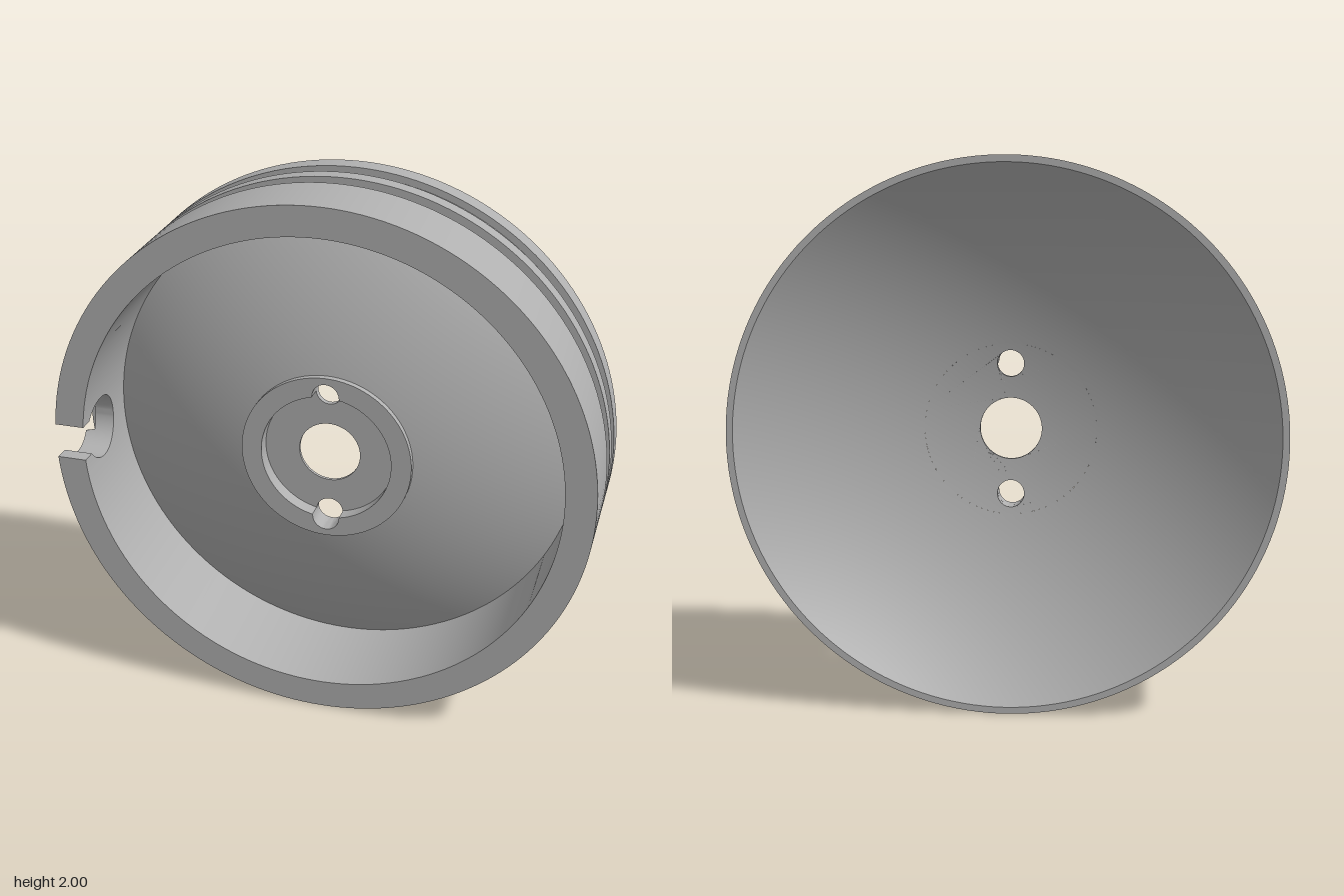
import * as THREE from 'three';
import { toCreasedNormals } from 'three/addons/utils/BufferGeometryUtils.js';

const SEG = 160;
const NOTCH_R = 0.12, NOTCH_Z = 0.105, SLOT = 0.067;   // keyhole notch in the rim
const BACK_R = 1.625, FRONT_R = 1.695, SPHERE_Z = -1.563; // concentric dish spheres
const BOSS_R = 0.32, RECESS_R = 0.245, PIN_R = 0.05, BORE_R = 0.115;
const FLOOR_Z = 0.07, BOSS_Z = 0.125;

const sphereZ = (R, r) => SPHERE_Z + Math.sqrt(R * R - r * r);

// Point on a circle about z; the angle is measured from -x towards +y
const polar = (r, a, z) => new THREE.Vector3(-r * Math.cos(a), r * Math.sin(a), z);

// Skin between columns of points, each column being a closed cross-section
function skin(columns, closed) {
  const out = [];
  const count = closed ? columns.length : columns.length - 1;
  for (let i = 0; i < count; i++) {
    const p = columns[i], q = columns[(i + 1) % columns.length];
    for (let j = 0; j < p.length; j++) {
      const k = (j + 1) % p.length;
      for (const v of [p[j], q[j], p[k], q[j], q[k], p[k]]) out.push(v.x, v.y, v.z);
    }
  }
  const g = new THREE.BufferGeometry();
  g.setAttribute('position', new THREE.Float32BufferAttribute(out, 3));
  return toCreasedNormals(g, 0.5);
}

// Rim with two grooves; the notch lowers its front edge
function rimGeometry() {
  const profile = [
    [0.89, 0.26], [1, 0.26], [1, 0.01], [0.965, 0.01], [0.965, -0.058], [1, -0.058],
    [1, -0.118], [0.965, -0.118], [0.965, -0.175], [0.975, -0.185], [1, -0.185],
    [1, -0.26], [0.975, -0.26], [0.89, -0.15],
  ];
  const columns = [];
  for (let i = 0; i <= SEG; i++) {
    columns.push(profile.map(([r, z]) => {
      const a = Math.asin(NOTCH_R / r);
      return polar(r, THREE.MathUtils.lerp(a, 2 * Math.PI - a, i / SEG), z);
    }));
  }
  for (let i = 0; i <= 40; i++) {
    const a = (i / 40 - 0.5) * Math.PI;
    const y = NOTCH_R * Math.sin(a), top = NOTCH_Z - NOTCH_R * Math.cos(a);
    columns.push(profile.map(([r, z], j) => {
      const rr = j < 3 && top < 0.01 ? Math.min(r, 0.965) : r;
      return polar(rr, Math.asin(y / rr), Math.min(z, top));
    }));
  }
  return skin(columns, true);
}

// Lip that narrows the notch to a slot at the front
function lipGeometry(side) {
  const columns = [];
  const a0 = Math.asin(SLOT / NOTCH_R);
  for (let i = 0; i <= 12; i++) {
    const a = side * THREE.MathUtils.lerp(a0, Math.PI / 2, i / 12);
    const y = NOTCH_R * Math.sin(a), low = NOTCH_Z + NOTCH_R * Math.cos(a);
    columns.push([[0.89, 0.26], [1, 0.26], [1, low], [0.89, low]]
      .map(([r, z]) => polar(r, Math.asin(y / r), z)));
  }
  // close both ends by collapsing a column to its middle
  const middle = (c) => {
    const m = new THREE.Vector3();
    c.forEach((v) => m.addScaledVector(v, 0.25));
    return c.map(() => m);
  };
  columns.unshift(middle(columns[0]));
  columns.push(middle(columns[columns.length - 1]));
  if (side < 0) columns.reverse();
  return skin(columns, false);
}

// Spherical shell surface between two radii
function dishGeometry(R, from, to) {
  const pts = [];
  for (let i = 0; i <= 32; i++) {
    const r = THREE.MathUtils.lerp(from, to, i / 32);
    pts.push(new THREE.Vector2(r, sphereZ(R, r)));
  }
  return new THREE.LatheGeometry(pts, SEG).rotateX(Math.PI / 2);
}

function circle(Kind, r, y = 0) {
  return new Kind().absarc(0, y, r, 0, Math.PI * 2, false);
}

// Hub floor with bore and two pin holes; its back follows the dish
function hubFloorGeometry() {
  const shape = circle(THREE.Shape, BOSS_R);
  shape.holes.push(circle(THREE.Path, BORE_R), circle(THREE.Path, PIN_R, RECESS_R),
    circle(THREE.Path, PIN_R, -RECESS_R));
  let g = new THREE.ExtrudeGeometry(shape, { depth: FLOOR_Z, bevelEnabled: false, curveSegments: 40 });
  const p = g.attributes.position;
  for (let i = 0; i < p.count; i++) {
    if (p.getZ(i) < 0.001) p.setZ(i, sphereZ(BACK_R, Math.hypot(p.getX(i), p.getY(i))));
  }
  g = toCreasedNormals(g, 0.6);
  const q = g.attributes.position, n = g.attributes.normal, v = new THREE.Vector3();
  for (let i = 0; i < q.count; i++) {
    if (n.getZ(i) > -0.7) continue;
    v.set(-q.getX(i), -q.getY(i), SPHERE_Z - q.getZ(i)).normalize();
    n.setXYZ(i, v.x, v.y, v.z);
  }
  return g;
}

// Raised ring whose inner edge is bitten by the pin holes
function bossGeometry() {
  const shape = circle(THREE.Shape, BOSS_R);
  const edge = [];
  for (let i = 0; i < 240; i++) {
    const a = (i / 240) * Math.PI * 2;
    const across = RECESS_R * Math.cos(a), along = RECESS_R * Math.abs(Math.sin(a));
    const d = PIN_R * PIN_R - across * across;
    const r = d > 0 ? Math.max(RECESS_R, along + Math.sqrt(d)) : RECESS_R;
    edge.push(new THREE.Vector2(r * Math.cos(a), r * Math.sin(a)));
  }
  shape.holes.push(new THREE.Path(edge));
  const g = new THREE.ExtrudeGeometry(shape, { depth: BOSS_Z - FLOOR_Z, bevelEnabled: false, curveSegments: 48 });
  return toCreasedNormals(g.translate(0, 0, FLOOR_Z), 0.6);
}

export function createModel() {
  const metal = new THREE.MeshStandardMaterial({ color: 0xb0b0b0 });
  metal.name = 'grey metal';
  const model = new THREE.Group();
  model.name = 'groovedDisc';
  const add = (name, geometry) => {
    const mesh = new THREE.Mesh(geometry, metal);
    mesh.name = name;
    mesh.position.y = 1;
    model.add(mesh);
  };
  add('groovedRim', rimGeometry());
  add('notchLipUpper', lipGeometry(1));
  add('notchLipLower', lipGeometry(-1));
  add('frontDome', dishGeometry(FRONT_R, 0.89, 0.31));
  add('backBowl', dishGeometry(BACK_R, BOSS_R, 0.975));
  add('hubFloor', hubFloorGeometry());
  add('hubBoss', bossGeometry());
  return model;
}
